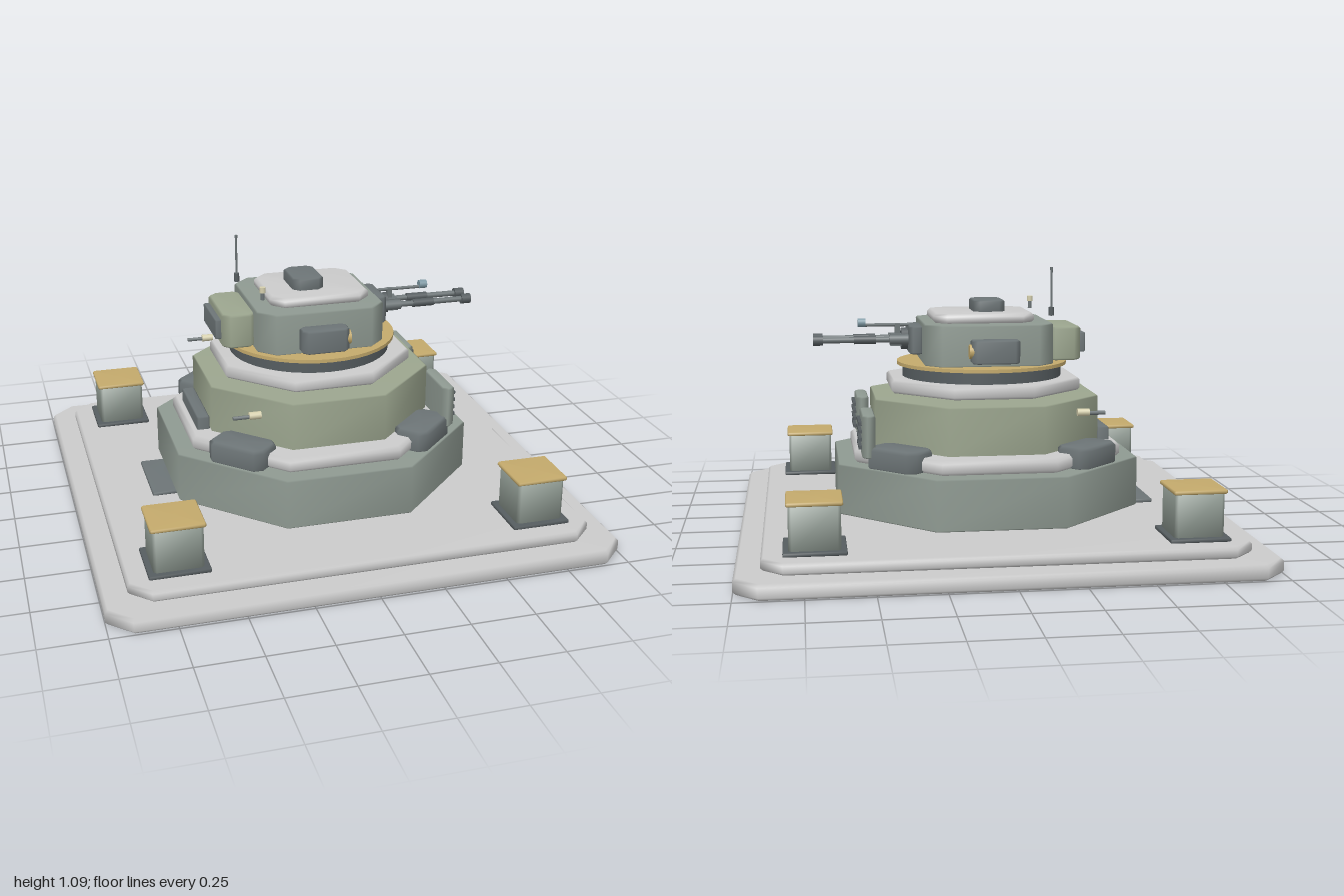
import * as THREE from 'three';

const mat = (color) => new THREE.MeshStandardMaterial({ color, side: THREE.DoubleSide });
const GREY = mat(0xcccccc), HULL = mat(0x8f9a92), OLIVE = mat(0x9ca68f), STEEL = mat(0x6d7577),
  DARK = mat(0x565d60), GOLD = mat(0xc4aa6c), LAMP = mat(0xd6d0ae), GLASS = mat(0x7f9aa5);
const OCT = 2 - Math.SQRT2; // chamfer ratio that turns a square into a regular octagon

// Chamfered rectangle in plan, lofted upwards with bevelled top and bottom edges.
function slabGeometry(hw, hd, c, y0, y1, bevel) {
  const levels = bevel > 0 ? [[bevel, y0], [0, y0 + bevel], [0, y1 - bevel], [bevel, y1]] : [[0, y0], [0, y1]];
  const pos = [], idx = [];
  for (const [inset, y] of levels) {
    const w = hw - inset, d = hd - inset, k = Math.max(c - inset * OCT, 0.001);
    for (const [x, z] of [[w, -d + k], [w, d - k], [w - k, d], [-w + k, d],
      [-w, d - k], [-w, -d + k], [-w + k, -d], [w - k, -d]]) pos.push(x, y, z);
  }
  const last = (levels.length - 1) * 8, bottom = levels.length * 8, top = bottom + 1;
  pos.push(0, y0, 0, 0, y1, 0);
  for (let i = 0; i < 8; i++) {
    const n = (i + 1) % 8;
    for (let r = 0; r < last; r += 8) idx.push(r + i, r + 8 + i, r + n, r + n, r + 8 + i, r + 8 + n);
    idx.push(bottom, i, n, top, last + n, last + i);
  }
  const g = new THREE.BufferGeometry();
  g.setAttribute('position', new THREE.Float32BufferAttribute(pos, 3));
  g.setIndex(idx);
  g.computeVertexNormals();
  return g;
}

function add(parent, name, geometry, material, x = 0, y = 0, z = 0) {
  const m = new THREE.Mesh(geometry, material);
  m.name = name;
  m.position.set(x, y, z);
  parent.add(m);
  return m;
}
const slab = (p, name, m, hw, hd, c, y0, y1, bevel = 0.01, x = 0, z = 0) =>
  add(p, name, slabGeometry(hw, hd, c, y0, y1, bevel), m, x, 0, z);
const octagon = (p, name, m, a, y0, y1, bevel) => slab(p, name, m, a, a, a * OCT, y0, y1, bevel);
const box = (p, name, m, sx, sy, sz, x, y, z) => add(p, name, new THREE.BoxGeometry(sx, sy, sz), m, x, y, z);
// Cylinder lying along x
const rod = (p, name, m, r, x0, x1, y, z, sides = 12) =>
  add(p, name, new THREE.CylinderGeometry(r, r, x1 - x0, sides).rotateZ(Math.PI / 2), m, (x0 + x1) / 2, y, z);
const post = (p, name, m, r, y0, y1, x, z, sides = 12) =>
  add(p, name, new THREE.CylinderGeometry(r, r, y1 - y0, sides), m, x, (y0 + y1) / 2, z);

function makeBase(root) {
  const base = new THREE.Group();
  base.name = 'base';
  root.add(base);
  slab(base, 'groundPlate', GREY, 1, 1, 0.09, 0, 0.06, 0.012);
  slab(base, 'upperPlate', GREY, 0.905, 0.905, 0.08, 0.06, 0.105, 0.01);
  slab(base, 'rearStep', STEEL, 0.06, 0.158, 0.005, 0.105, 0.12, 0.003, -0.64);
  for (const sx of [-1, 1]) for (const sz of [-1, 1]) {
    const x = sx * 0.71, z = sz * 0.71;
    slab(base, 'pillarFoot', DARK, 0.116, 0.116, 0.004, 0.105, 0.12, 0.003, x, z);
    slab(base, 'pillar', HULL, 0.095, 0.095, 0.012, 0.12, 0.285, 0, x, z);
    slab(base, 'pillarCap', GOLD, 0.103, 0.103, 0.006, 0.284, 0.3, 0.004, x, z);
  }
}

function makeBody(root) {
  const body = new THREE.Group();
  body.name = 'body';
  root.add(body);
  octagon(body, 'footing', DARK, 0.45, 0.1, 0.125, 0);
  octagon(body, 'lowerTier', HULL, 0.607, 0.12, 0.322, 0.005);
  octagon(body, 'lowerRing', GREY, 0.54, 0.32, 0.38, 0.014);
  octagon(body, 'upperTier', OLIVE, 0.455, 0.375, 0.57, 0.005);
  octagon(body, 'collar', DARK, 0.2, 0.565, 0.595, 0);
  octagon(body, 'upperRing', GREY, 0.385, 0.588, 0.64, 0.01);
  slab(body, 'rearBox', STEEL, 0.026, 0.165, 0.006, 0.32, 0.433, 0.005, -0.484);

  // Bins on the four diagonal sides
  for (let i = 0; i < 4; i++) {
    const a = Math.PI / 4 + i * Math.PI / 2;
    slab(body, 'cornerBin', STEEL, 0.075, 0.125, 0.03, 0.315, 0.405, 0.012,
      Math.cos(a) * 0.525, Math.sin(a) * 0.525).rotation.y = -a;
  }

  for (const s of [-1, 1]) {
    // Front vent with slats
    const vent = new THREE.Group();
    vent.name = 'vent';
    vent.position.set(0.49, 0, s * 0.25);
    body.add(vent);
    slab(vent, 'ventPanel', HULL, 0.026, 0.12, 0.02, 0.362, 0.53, 0.006);
    for (let i = 0; i < 4; i++) box(vent, 'ventSlat', DARK, 0.02, 0.013, 0.165, 0.029, 0.402 + i * 0.031, 0);
    // Side lamp on a short arm
    rod(body, 'lampArm', STEEL, 0.008, -0.425, -0.355, 0.54, s * 0.455, 8);
    rod(body, 'lamp', LAMP, 0.015, -0.362, -0.315, 0.543, s * 0.453);
  }
}

function makeTurret(root) {
  const turret = new THREE.Group();
  turret.name = 'turret';
  root.add(turret);
  post(turret, 'bearing', DARK, 0.33, 0.635, 0.69, 0, 0, 40);
  post(turret, 'goldRing', GOLD, 0.352, 0.688, 0.702, 0, 0, 40);
  slab(turret, 'head', HULL, 0.261, 0.261, 0.065, 0.7, 0.868, 0.006, -0.005);
  slab(turret, 'roof', GREY, 0.205, 0.185, 0.05, 0.865, 0.907, 0.012, 0.008);
  slab(turret, 'hatch', STEEL, 0.064, 0.095, 0.025, 0.9, 0.953, 0.006, -0.022);
  slab(turret, 'bustle', OLIVE, 0.07, 0.158, 0.03, 0.71, 0.847, 0.008, -0.322);
  slab(turret, 'rearPlate', STEEL, 0.016, 0.115, 0.004, 0.74, 0.82, 0.004, -0.4);
  for (const s of [-1, 1]) {
    slab(turret, 'sidePod', STEEL, 0.096, 0.042, 0.02, 0.72, 0.813, 0.006, -0.016, s * 0.293);
    rod(turret, 'podLens', GOLD, 0.029, 0.07, 0.088, 0.768, s * 0.295, 16);
  }

  // Aerial and small roof light
  post(turret, 'aerialBase', DARK, 0.011, 0.893, 0.928, -0.268, -0.143);
  post(turret, 'aerial', STEEL, 0.0045, 0.925, 1.08, -0.268, -0.143, 8);
  post(turret, 'aerialTip', STEEL, 0.006, 1.078, 1.09, -0.268, -0.143, 8);
  post(turret, 'roofLightBase', STEEL, 0.008, 0.9, 0.935, -0.228, 0.145);
  post(turret, 'roofLight', LAMP, 0.012, 0.93, 0.952, -0.228, 0.145);

  // Mantlet, paired barrels and sight
  slab(turret, 'mantlet', STEEL, 0.03, 0.1, 0.015, 0.737, 0.85, 0.006, 0.278);
  rod(turret, 'gunMount', DARK, 0.045, 0.295, 0.335, 0.793, 0, 8);
  box(turret, 'gunBody', STEEL, 0.07, 0.05, 0.06, 0.345, 0.79, 0);
  for (const s of [-1, 1]) {
    const z = s * 0.04;
    rod(turret, 'barrelSleeve', STEEL, 0.021, 0.3, 0.385, 0.793, z);
    rod(turret, 'barrel', STEEL, 0.012, 0.38, 0.66, 0.793, z);
    rod(turret, 'barrelBand', DARK, 0.017, 0.44, 0.53, 0.793, z);
    rod(turret, 'muzzle', DARK, 0.021, 0.655, 0.695, 0.793, z);
  }
  box(turret, 'sightStand', STEEL, 0.02, 0.05, 0.02, 0.35, 0.83, 0);
  rod(turret, 'sightArm', STEEL, 0.007, 0.3, 0.49, 0.85, 0, 8);
  rod(turret, 'sight', GLASS, 0.018, 0.48, 0.512, 0.86, 0);
}

export function createModel() {
  const root = new THREE.Group();
  root.name = 'gunTurretEmplacement';
  makeBase(root);
  makeBody(root);
  makeTurret(root);
  return root;
}
